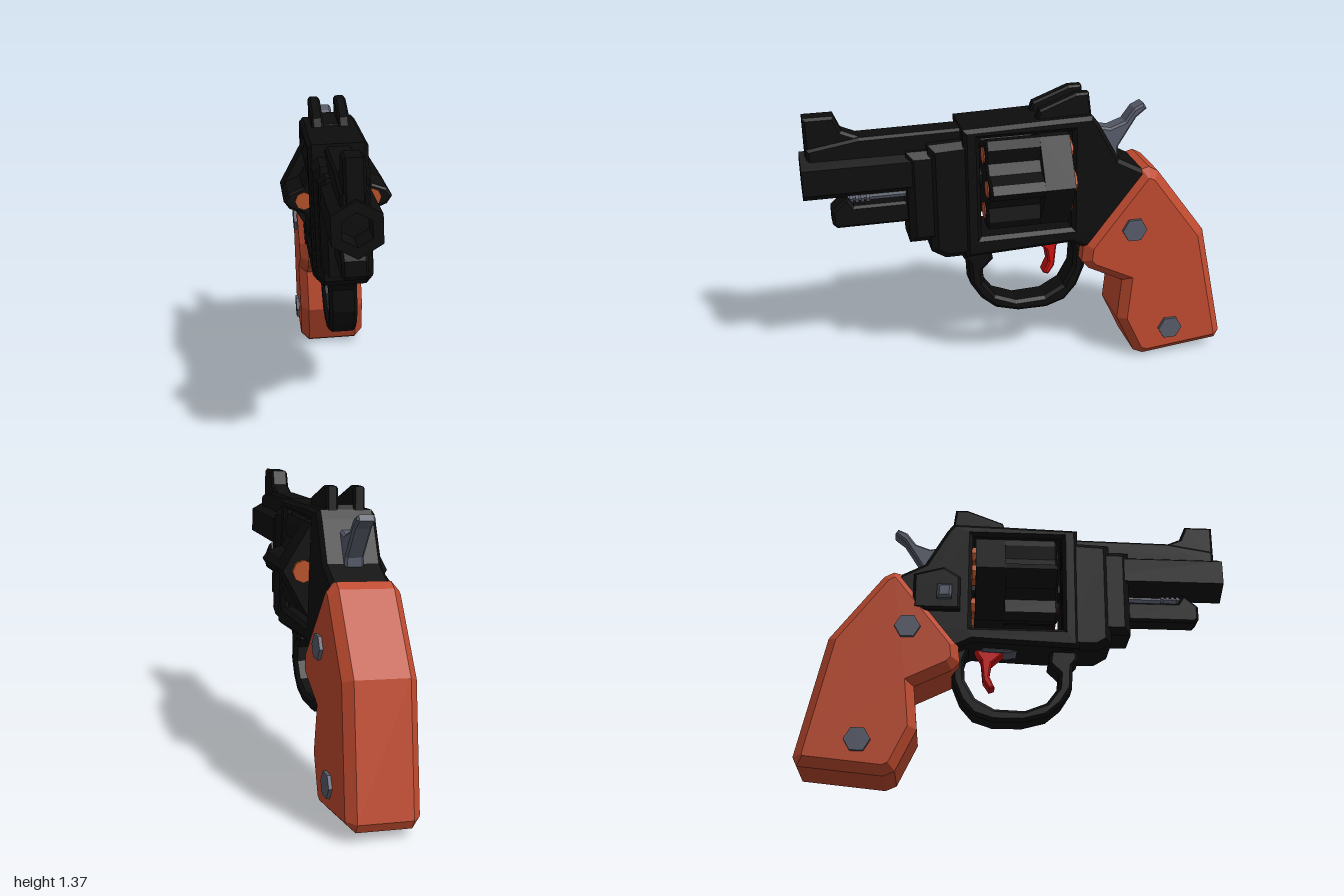
import * as THREE from 'three';

const mat = (name, color) => {
  const m = new THREE.MeshStandardMaterial({ color });
  m.name = name;
  return m;
};

export function createModel() {
  const black = mat('black metal', 0x0d0d0d);
  const wood = mat('reddish grip', 0xbe4a2f);
  const gray = mat('gray steel', 0x565b69);
  const red = mat('red trigger', 0xcc1212);
  const copper = mat('copper', 0xb8532a);

  const model = new THREE.Group();
  model.name = 'revolver';
  const body = new THREE.Group(); // slightly turned and leaning about y = 1
  body.name = 'body';
  body.position.set(-0.015, 1, 0);
  body.rotation.set(0, -0.085, 0.038);
  model.add(body);

  const add = (name, geometry, material) => {
    let g = geometry.index ? geometry.toNonIndexed() : geometry;
    g.computeVertexNormals(); // faceted look
    g.translate(0, -1, 0);
    const mesh = new THREE.Mesh(g, material);
    mesh.name = name;
    body.add(mesh);
    return mesh;
  };
  const toPoints = (pts) => pts.map(([a, b]) => new THREE.Vector2(a, b));

  // Side profile of [z, y] points, extruded across x
  const plate = (pts, width, bevel = 0.012, x = 0, hole = null) => {
    const shape = new THREE.Shape(toPoints(pts));
    if (hole) shape.holes.push(new THREE.Path(toPoints(hole)));
    const g = new THREE.ExtrudeGeometry(shape, {
      depth: width - 2 * bevel, bevelEnabled: bevel > 0, bevelThickness: bevel,
      bevelSize: bevel, bevelOffset: -bevel, bevelSegments: 1,
    });
    g.translate(0, 0, -(width - 2 * bevel) / 2);
    g.rotateY(-Math.PI / 2);
    return g.translate(x, 0, 0);
  };
  // Prism running along z
  const rod = (r, z0, z1, x, y, sides = 6, turn = 0) => {
    const g = new THREE.CylinderGeometry(r, r, z1 - z0, sides);
    g.rotateX(Math.PI / 2).rotateZ(turn);
    return g.translate(x, y, (z0 + z1) / 2);
  };
  const rect = (z0, z1, y0, y1) => [[z0, y0], [z1, y0], [z1, y1], [z0, y1]];

  // Hexagonal barrel with an open bore
  const ring = (r) => Array.from({ length: 6 }, (_, i) => {
    const a = Math.PI / 2 + i * Math.PI / 3;
    return [Math.cos(a) * r, Math.sin(a) * r];
  });
  const muzzle = new THREE.Shape(toPoints(ring(0.118)));
  muzzle.holes.push(new THREE.Path(toPoints(ring(0.07))));
  const barrel = new THREE.ExtrudeGeometry(muzzle, { depth: 0.74, bevelEnabled: false });
  add('barrel', barrel.translate(0, 1.062, 0.25), black);
  add('bore', rod(0.075, 0.3, 0.85, 0, 1.062, 6), black);

  // Rib and front sight
  add('barrelRib', plate([[0.96, 1.12], [0.96, 1.2], [0.73, 1.237], [0.25, 1.243], [0.25, 1.1]], 0.12), black);
  add('frontSight', plate([[0.965, 1.14], [0.965, 1.34], [0.83, 1.34], [0.8, 1.27], [0.72, 1.235], [0.72, 1.14]], 0.09), black);

  // Lug under the barrel with the ejector rod
  add('underLug', plate([[0.5, 0.95], [0.54, 0.915], [0.77, 0.915], [0.8, 0.96], [0.87, 0.9], [0.87, 0.835], [0.85, 0.815], [0.5, 0.815]], 0.11), black);
  add('ejectorRod', rod(0.022, 0.52, 0.8, 0, 0.942, 8), gray);
  for (let i = 0; i < 4; i++) {
    add('ejectorRing', rod(0.03, 0.695 + i * 0.025, 0.71 + i * 0.025, 0, 0.942, 8), gray);
  }
  add('barrelShroud', plate(rect(0.22, 0.53, 0.725, 1.16), 0.22, 0.03), black);
  add('frontBlock', plate([[0.2, 0.635], [0.37, 0.635], [0.435, 0.675], [0.435, 1.19], [0.2, 1.2]], 0.25, 0.03), black);

  // Frame around the cylinder window
  add('frame', plate([
    [0.28, 0.635], [0.28, 1.255], [-0.08, 1.265], [-0.32, 1.27], [-0.35, 1.23], [-0.45, 1.05],
    [-0.6, 0.97], [-0.5, 0.7], [-0.33, 0.6], [-0.22, 0.655],
  ], 0.27, 0.018, 0, rect(-0.225, 0.205, 0.73, 1.208)), black);

  // Rear sight with a notch
  for (const s of [-1, 1]) {
    add('rearSight', plate([[-0.06, 1.25], [-0.08, 1.305], [-0.25, 1.37], [-0.31, 1.37], [-0.325, 1.25]], 0.055, 0.01, s * 0.062), black);
  }
  add('rearSightBase', plate([[-0.08, 1.25], [-0.1, 1.27], [-0.24, 1.29], [-0.31, 1.29], [-0.32, 1.25]], 0.1), black);

  // Cylinder: plain hexagon behind, fluted star in front
  const cy = 0.98;
  add('cylinderRear', rod(0.247, -0.21, -0.07, 0, cy, 6, Math.PI / 2), black);
  const star = [];
  for (let i = 0; i < 6; i++) {
    for (const [da, r] of [[-0.36, 0.17], [-0.16, 0.225], [0, 0.247], [0.16, 0.225], [0.36, 0.17]]) {
      const a = i * Math.PI / 3 + da;
      star.push([Math.cos(a) * r, Math.sin(a) * r]);
    }
  }
  const fluted = new THREE.ExtrudeGeometry(new THREE.Shape(toPoints(star)), {
    depth: 0.25, bevelEnabled: true, bevelSize: 0.01, bevelOffset: -0.01, bevelThickness: 0.01, bevelSegments: 1,
  });
  add('cylinderFlutes', fluted.translate(0, cy, -0.08), black);
  add('cylinderPin', rod(0.05, -0.24, 0.22, 0, cy, 6), black);
  for (let i = 0; i < 6; i++) {
    const a = i * Math.PI / 3;
    const x = Math.cos(a) * 0.155, y = cy + Math.sin(a) * 0.155;
    add('cartridgeRim', rod(0.052, -0.228, -0.2, x, y, 8), copper);
    add('bulletTip', rod(0.04, 0.1, 0.185, x, y, 8), copper);
  }

  // Trigger guard and trigger
  add('triggerGuard', plate([
    [0.28, 0.65], [0.28, 0.6], [0.255, 0.57], [0.25, 0.46], [0.2, 0.38], [0.13, 0.32], [0.02, 0.29],
    [-0.12, 0.29], [-0.21, 0.32], [-0.27, 0.39], [-0.31, 0.49], [-0.31, 0.66], [-0.23, 0.66], [-0.255, 0.58],
    [-0.25, 0.49], [-0.2, 0.4], [-0.11, 0.35], [0.03, 0.345], [0.13, 0.385], [0.185, 0.46],
    [0.19, 0.53], [0.14, 0.58], [0.15, 0.65],
  ], 0.13, 0.015), black);
  add('triggerPlate', plate([[0.06, 0.7], [0.04, 0.66], [-0.05, 0.635], [-0.17, 0.64], [-0.19, 0.7]], 0.11, 0.01), gray);
  add('trigger', plate([
    [0, 0.65], [-0.07, 0.635], [-0.125, 0.585], [-0.135, 0.52], [-0.11, 0.465], [-0.135, 0.455],
    [-0.165, 0.5], [-0.175, 0.6], [-0.205, 0.65],
  ], 0.075, 0.008), red);

  // Hammer
  add('hammer', plate([
    [-0.36, 1.19], [-0.43, 1.175], [-0.5, 1.2], [-0.545, 1.26], [-0.59, 1.28], [-0.605, 1.255],
    [-0.555, 1.215], [-0.47, 1.08], [-0.47, 1.0], [-0.36, 1.0],
  ], 0.085, 0.01), gray);

  // Cylinder release on the right side
  add('releasePlate', plate([[-0.28, 0.8], [-0.28, 0.97], [-0.36, 1.02], [-0.5, 0.98], [-0.5, 0.8]], 0.05, 0.012, -0.14), black);
  add('releaseButton', plate(rect(-0.39, -0.32, 0.85, 0.92), 0.05, 0.012, -0.168), gray);

  // Grip with bevelled edges and screws on both sides
  add('grip', plate([
    [-0.595, 1.0], [-0.64, 0.975], [-0.88, 0.65], [-1.0, 0.08], [-0.98, 0.04], [-0.6, 0.002], [-0.55, 0.025],
    [-0.46, 0.22], [-0.48, 0.425], [-0.31, 0.51], [-0.275, 0.55], [-0.285, 0.64], [-0.56, 0.99],
  ], 0.325, 0.04), wood);
  for (const s of [-1, 1]) {
    for (const [z, y] of [[-0.52, 0.705], [-0.72, 0.155]]) {
      const screw = new THREE.CylinderGeometry(0.06, 0.06, 0.03, 6);
      screw.rotateZ(Math.PI / 2);
      add('gripScrew', screw.translate(s * 0.163, y, z), gray);
    }
  }
  return model;
}
